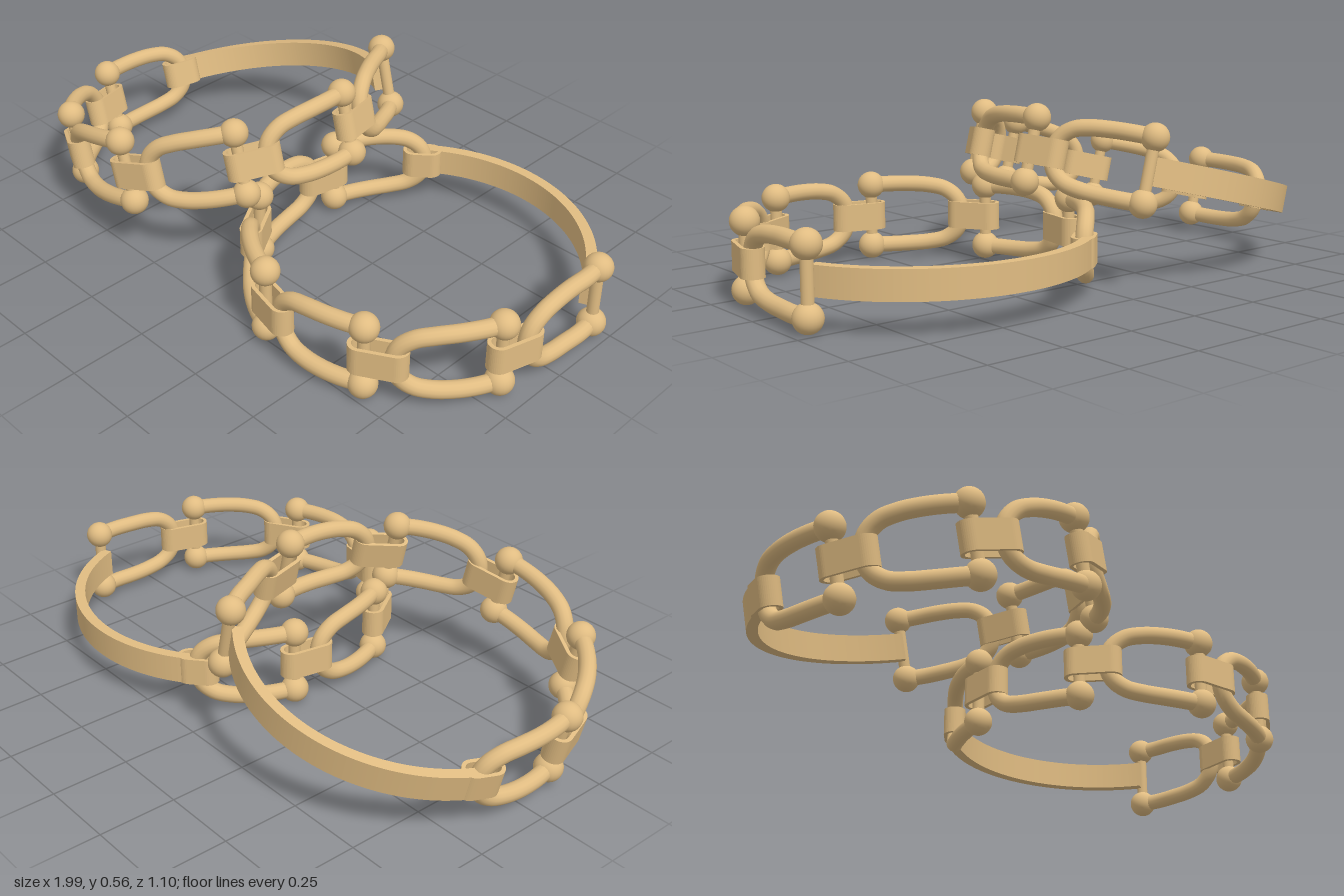
import * as THREE from 'three';

const R = 0.515;          // centreline radius of a bracelet
const H = 0.103;          // half the distance between the two balls of a link
const STRAP_H = 0.09;     // height of straps and band
const DEG = Math.PI / 180;
const POSTS = [-23, 20.5, 65, 108, 152, 195.5]; // post angles
const HOOK_GAP = 9.5;     // angle between a hook and the next post

const gold = new THREE.MeshStandardMaterial({ color: 0xe0bc82 });

function add(parent, name, geometry) {
  const mesh = new THREE.Mesh(geometry, gold);
  mesh.name = name;
  parent.add(mesh);
  return mesh;
}

function polar(angle, y, r = R) {
  return new THREE.Vector3(r * Math.cos(angle * DEG), y, r * Math.sin(angle * DEG));
}

// U-shaped link: a bent rail, a ball on each end and a post between the balls
function makeLink(from, to, r0) {
  const link = new THREE.Group();
  link.name = 'link';
  const half = [[0, 1], [0.2, 1.01], [0.42, 1], [0.64, 0.95], [0.82, 0.82], [0.95, 0.5]];
  const at = ([t, y], sign) => polar(
    from + (to - from) * t, y * H * sign, R + (r0 - R) * Math.max(0, 1 - 2 * t));
  const points = [
    ...half.map(p => at(p, 1)),
    at([1, 0], 1),
    ...half.slice().reverse().map(p => at(p, -1)),
  ];
  const curve = new THREE.CatmullRomCurve3(points, false, 'centripetal');
  add(link, 'rail', new THREE.TubeGeometry(curve, 64, 0.027, 14));
  for (const sign of [1, -1]) {
    add(link, 'ball', new THREE.SphereGeometry(0.045, 24, 16))
      .position.copy(polar(from, sign * H, r0));
  }
  add(link, 'post', new THREE.CylinderGeometry(0.019, 0.019, 2 * H, 16))
    .position.copy(polar(from, 0, r0));
  return link;
}

// Stadium outline: x is radial, y runs along the bracelet
function stadium(path, halfWidth, halfLength) {
  const c = halfLength - halfWidth;
  path.absarc(0, c, halfWidth, 0, Math.PI, false);
  path.absarc(0, -c, halfWidth, Math.PI, 2 * Math.PI, false);
  path.closePath();
  return path;
}

// Flat strap wrapped into a loop around a hook and a post
function makeStrap(angle, length) {
  const shape = stadium(new THREE.Shape(), 0.036, length / 2);
  shape.holes.push(stadium(new THREE.Path(), 0.024, length / 2 - 0.012));
  const geometry = new THREE.ExtrudeGeometry(shape, {
    depth: STRAP_H, bevelEnabled: false, curveSegments: 10,
  });
  geometry.translate(0, 0, -STRAP_H / 2).rotateX(Math.PI / 2);
  const strap = new THREE.Mesh(geometry, gold);
  strap.name = 'strap';
  strap.position.copy(polar(angle, 0));
  strap.rotation.y = -angle * DEG;
  return strap;
}

// Long curved band closing the back of the bracelet
function makeBand(from, to) {
  const shape = new THREE.Shape();
  shape.absarc(0, 0, 0.546, from * DEG, to * DEG, false);
  shape.absarc(0, 0, 0.512, to * DEG, from * DEG, true);
  shape.closePath();
  const geometry = new THREE.ExtrudeGeometry(shape, {
    depth: STRAP_H, bevelEnabled: false, curveSegments: 48,
  });
  return geometry.translate(0, 0, -STRAP_H / 2).rotateX(Math.PI / 2);
}

function makeBracelet(name) {
  const bracelet = new THREE.Group();
  bracelet.name = name;
  POSTS.forEach((angle, i) => {
    const last = i === POSTS.length - 1;
    const hook = last ? 231 : POSTS[i + 1] - HOOK_GAP;
    bracelet.add(makeLink(angle, hook, i === 0 ? 0.557 : R));
    if (i > 0) bracelet.add(makeStrap(angle - HOOK_GAP / 2, 0.18));
  });
  bracelet.add(makeStrap(230, 0.13));
  add(bracelet, 'band', makeBand(231, 360 + POSTS[0]));
  return bracelet;
}

export function createModel() {
  const model = new THREE.Group();
  model.name = 'linkedBracelets';

  const flat = makeBracelet('flatBracelet');
  flat.position.set(0.435, 0.15, 0);

  // The second bracelet leans on the first
  const leaning = makeBracelet('leaningBracelet');
  leaning.position.set(-0.445, 0.291, 0);
  leaning.rotation.set(0, 29.5 * DEG, 14 * DEG, 'ZYX');

  model.add(flat, leaning);
  return model;
}
